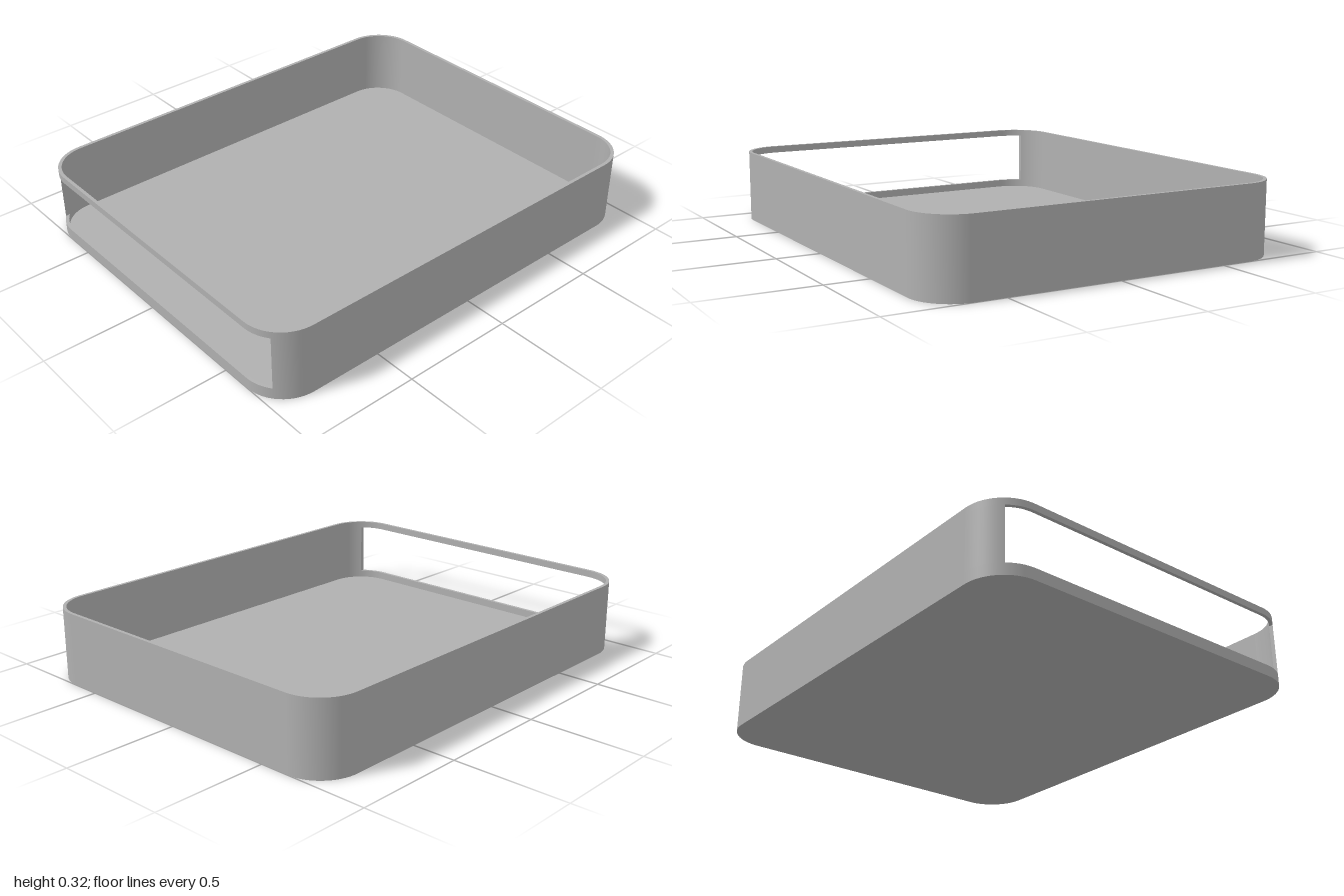
import * as THREE from 'three';

const HALF_W = 0.81, HALF_D = 1, HEIGHT = 0.32, RADIUS = 0.18;
const WALL = 0.015, FLOOR = 0.016;
const WINDOW_X = 0.74, SILL = 0.05, LINTEL = 0.29;
const CX = HALF_W - RADIUS, CZ = HALF_D - RADIUS;
const JAMB_STEPS = 8, SIDE_STEPS = 8, BACK_STEPS = 16;

// Closed rounded outline, starting at the +x window jamb and running round the back;
// the last stretch crosses the window. Angles are measured from +z towards +x.
function outline(r) {
  const pts = [];
  const arc = (sx, sz, a0, a1, n) => {
    for (let i = 0; i <= n; i++) {
      const a = a0 + (a1 - a0) * i / n;
      const nx = Math.sin(a), nz = Math.cos(a);
      pts.push({ x: sx * CX + r * nx, z: sz * CZ + r * nz, nx, nz });
    }
  };
  const jamb = Math.asin((WINDOW_X - CX) / r), q = Math.PI / 2;
  arc(1, 1, jamb, q, SIDE_STEPS);
  arc(1, -1, q, 2 * q, BACK_STEPS);
  arc(-1, -1, 2 * q, 3 * q, BACK_STEPS);
  arc(-1, 1, 3 * q, 4 * q - jamb, SIDE_STEPS);
  const solid = pts.length - 1;
  pts.pop();
  arc(-1, 1, 4 * q - jamb, 4 * q, JAMB_STEPS);
  arc(1, 1, 0, jamb, JAMB_STEPS);
  pts.pop();
  return { pts, solid };
}

// Collects triangles and turns each to face along its given normals
class Surface {
  positions = [];
  normals = [];
  tri(verts, norms) {
    const [a, b, c] = verts;
    const face = b.clone().sub(a).cross(c.clone().sub(a));
    const order = face.dot(norms[0]) + face.dot(norms[1]) < 0 ? [0, 2, 1] : [0, 1, 2];
    for (const i of order) {
      this.positions.push(...verts[i].toArray());
      this.normals.push(...norms[i].toArray());
    }
  }
  quad(a, b, c, d, n, m = n) {
    this.tri([a, b, c], [n, m, m]);
    this.tri([a, c, d], [n, m, n]);
  }
  mesh(name, material) {
    const g = new THREE.BufferGeometry();
    g.setAttribute('position', new THREE.Float32BufferAttribute(this.positions, 3));
    g.setAttribute('normal', new THREE.Float32BufferAttribute(this.normals, 3));
    const mesh = new THREE.Mesh(g, material);
    mesh.name = name;
    return mesh;
  }
}

const at = (p, y) => new THREE.Vector3(p.x, y, p.z);
const UP = new THREE.Vector3(0, 1, 0), DOWN = new THREE.Vector3(0, -1, 0);

// Wall face in three bands; the middle band is left out across the window
function wall({ pts, solid }, bottom, sign) {
  const s = new Surface(), rows = [bottom, SILL, LINTEL, HEIGHT];
  pts.forEach((p, i) => {
    const q = pts[(i + 1) % pts.length];
    const n = new THREE.Vector3(p.nx * sign, 0, p.nz * sign);
    const m = new THREE.Vector3(q.nx * sign, 0, q.nz * sign);
    for (let k = 0; k < 3; k++) {
      if (k === 1 && i >= solid) continue;
      s.quad(at(p, rows[k]), at(q, rows[k]), at(q, rows[k + 1]), at(p, rows[k + 1]), n, m);
    }
  });
  return s;
}

// Flat strip joining the outer and inner outlines at one height
function ledge(outer, inner, y, normal, from = 0) {
  const s = new Surface(), n = outer.pts.length;
  for (let i = from; i < n; i++) {
    const j = (i + 1) % n;
    s.quad(at(outer.pts[i], y), at(outer.pts[j], y), at(inner.pts[j], y), at(inner.pts[i], y), normal);
  }
  return s;
}

// Filled outline
function cap({ pts }, y, normal) {
  const s = new Surface(), centre = new THREE.Vector3(0, y, 0);
  pts.forEach((p, i) => {
    s.tri([centre, at(p, y), at(pts[(i + 1) % pts.length], y)], [normal, normal, normal]);
  });
  return s;
}

export function createModel() {
  const group = new THREE.Group();
  group.name = 'tray';
  const grey = new THREE.MeshStandardMaterial({ color: 0xb0b0b0 });
  grey.name = 'grey';

  const outer = outline(RADIUS), inner = outline(RADIUS - WALL);

  // Upright ends of the front window
  const jambs = new Surface();
  for (const [i, dir] of [[0, -1], [outer.solid, 1]]) {
    const o = outer.pts[i], n = inner.pts[i];
    jambs.quad(at(o, SILL), at(n, SILL), at(n, LINTEL), at(o, LINTEL), new THREE.Vector3(dir, 0, 0));
  }

  const parts = {
    outerWall: wall(outer, 0, 1),
    innerWall: wall(inner, FLOOR, -1),
    topRim: ledge(outer, inner, HEIGHT, UP),
    windowSill: ledge(outer, inner, SILL, UP, outer.solid),
    windowLintel: ledge(outer, inner, LINTEL, DOWN, outer.solid),
    windowJambs: jambs,
    floor: cap(inner, FLOOR, UP),
    underside: cap(outer, 0, DOWN),
  };
  for (const [name, surface] of Object.entries(parts)) group.add(surface.mesh(name, grey));
  return group;
}
